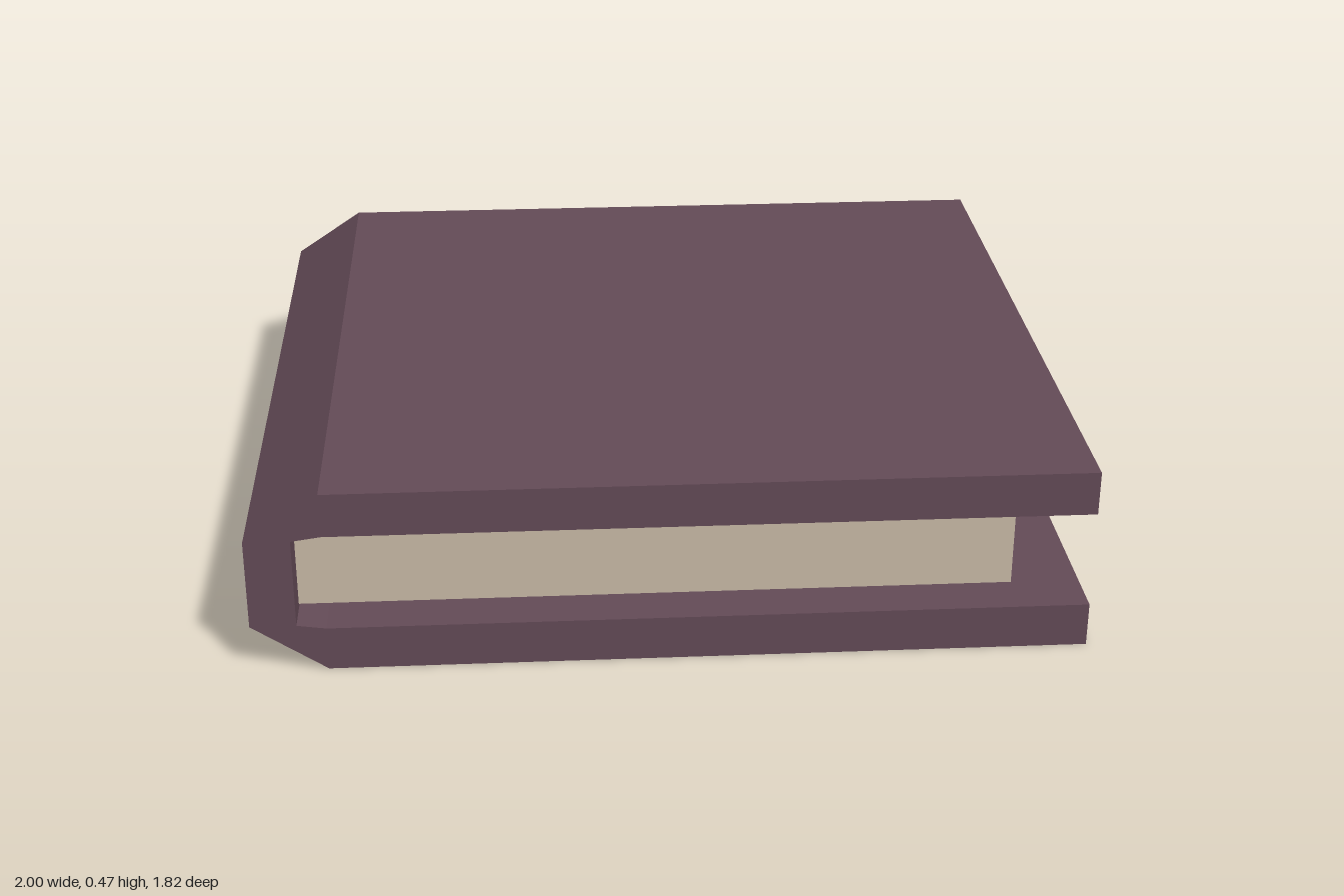
import * as THREE from 'three';

const HEIGHT = 0.465, DEPTH = 1.82;

export function createModel() {
  const model = new THREE.Group();
  model.name = 'book';
  const coverMaterial = new THREE.MeshStandardMaterial({ color: 0x644b57, flatShading: true });
  const pageMaterial = new THREE.MeshStandardMaterial({ color: 0xcabca8, flatShading: true });

  // Cover: lower half of the C-shaped section, mirrored for the upper half
  const outer = [[-1, 0.12], [-0.82, 0], [1, 0]];
  const inner = [[1, 0.11], [-0.82, 0.11], [-0.89, 0.12]];
  const lower = [...outer, ...inner];
  const upper = lower.map(([x, y]) => [x, HEIGHT - y]).reverse();
  const section = new THREE.Shape([...lower, ...upper].map(([x, y]) => new THREE.Vector2(x, y)));
  const coverGeometry = new THREE.ExtrudeGeometry(section, { depth: DEPTH, bevelEnabled: false });
  coverGeometry.translate(0, 0, -DEPTH / 2);
  const cover = new THREE.Mesh(coverGeometry, coverMaterial);
  cover.name = 'cover';

  // Page block, set in from the cover edges and resting against the spine
  const pages = new THREE.Mesh(new THREE.BoxGeometry(1.715, 0.205, 1.65), pageMaterial);
  pages.position.set(-0.0325, HEIGHT / 2, 0);
  pages.name = 'pages';

  model.add(cover, pages);
  return model;
}
